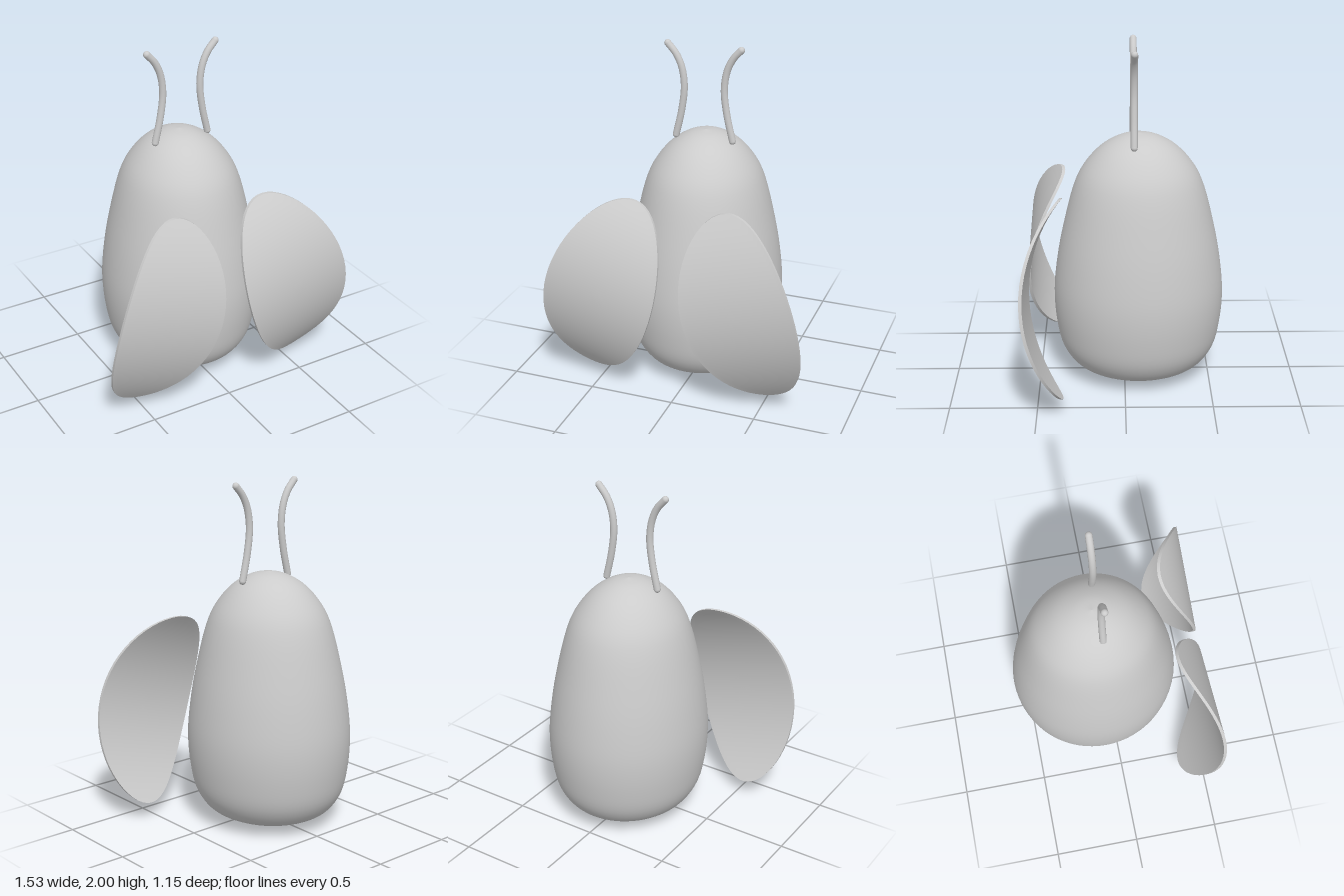
import * as THREE from 'three';
import { toCreasedNormals } from 'three/addons/utils/BufferGeometryUtils.js';

const material = new THREE.MeshStandardMaterial({ color: 0xcccccc });
const doubleSided = new THREE.MeshStandardMaterial({ color: 0xcccccc, side: THREE.DoubleSide });

function add(parent, name, geometry, mat = material) {
  const mesh = new THREE.Mesh(geometry, mat);
  mesh.name = name;
  parent.add(mesh);
  return mesh;
}

// Egg-shaped body: a lathed profile, slightly narrower in x than in z
function bodyGeometry() {
  const profile = [
    [0, 0.005], [0.1, 0.011], [0.21, 0.03], [0.31, 0.061], [0.385, 0.105], [0.45, 0.2],
    [0.484, 0.35], [0.495, 0.53], [0.477, 0.72], [0.438, 0.93], [0.365, 1.2],
    [0.305, 1.31], [0.21, 1.41], [0.1, 1.469], [0, 1.487],
  ].map(([r, y]) => new THREE.Vector3(r, y, 0));
  const points = new THREE.CatmullRomCurve3(profile).getPoints(64)
    .map((p) => new THREE.Vector2(Math.max(p.x, 0), p.y));
  points[0].x = points[64].x = 0;
  return new THREE.LatheGeometry(points, 64).scale(0.92, 1, 1).translate(0, 0, -0.082);
}

// Thin oval plate, bent backwards along its long axis
function wingGeometry(side) {
  const half = 0.009, rings = 14, bendRadius = 0.86;
  const points = [];
  for (let i = 0; i <= rings; i++) points.push(new THREE.Vector2(i / rings, -half));
  for (let i = rings; i >= 0; i--) points.push(new THREE.Vector2(i / rings, half));
  const geometry = new THREE.LatheGeometry(points, 64).rotateX(Math.PI / 2).scale(0.325, 0.563, 1);
  const pos = geometry.attributes.position;
  for (let i = 0; i < pos.count; i++) {
    const y = pos.getY(i);
    pos.setZ(i, pos.getZ(i) - bendRadius + Math.sqrt(bendRadius ** 2 - y * y));
  }
  geometry.rotateZ(side * 0.288).translate(side * 0.415, 0.643, 0.567);
  return toCreasedNormals(geometry, 0.7);
}

// Curved feeler with rounded ends
function addAntenna(parent, side) {
  const group = new THREE.Group();
  group.name = side > 0 ? 'leftAntenna' : 'rightAntenna';
  const radius = 0.02;
  const path = new THREE.CatmullRomCurve3([
    [0.17, 1.445], [0.135, 1.6], [0.119, 1.74], [0.134, 1.85], [0.168, 1.925], [0.216, 1.981],
  ].map(([x, y]) => new THREE.Vector3(side * x, y, -0.052)));
  add(group, 'stalk', new THREE.TubeGeometry(path, 40, radius, 14));
  for (const [name, t] of [['base', 0], ['tip', 1]]) {
    add(group, name, new THREE.SphereGeometry(radius, 14, 10)).position.copy(path.getPoint(t));
  }
  parent.add(group);
}

export function createModel() {
  const model = new THREE.Group();
  model.name = 'wingedBug';
  add(model, 'body', bodyGeometry());
  for (const side of [1, -1]) {
    add(model, side > 0 ? 'leftWing' : 'rightWing', wingGeometry(side), doubleSided);
    addAntenna(model, side);
  }
  return model;
}
